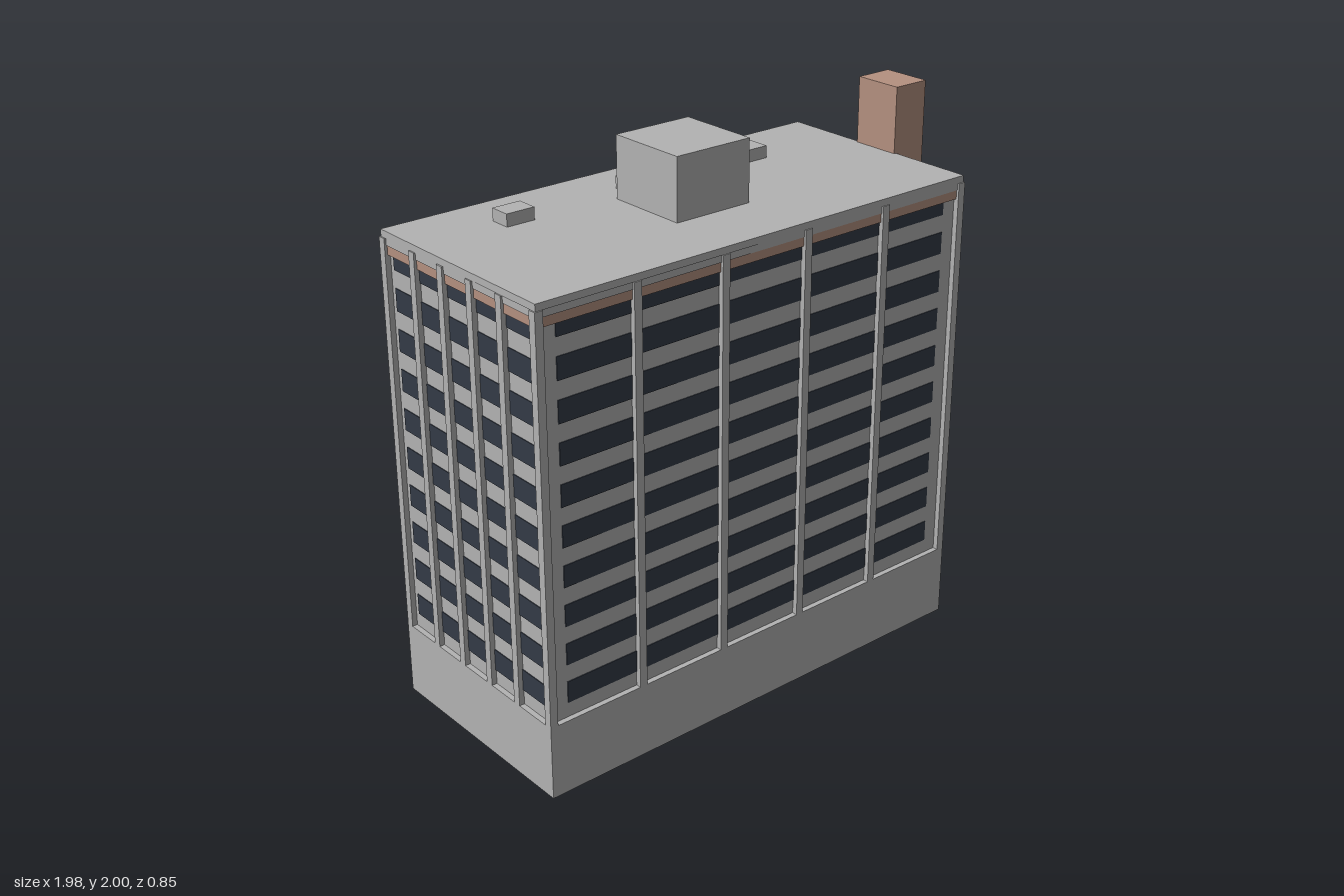
import * as THREE from 'three';

const concrete = new THREE.MeshStandardMaterial({ color: 0xb3b3b3 });
concrete.name = 'concrete grey';
const brick = new THREE.MeshStandardMaterial({ color: 0xb59180 });
brick.name = 'brick brown';
const glass = new THREE.MeshStandardMaterial({ color: 0x343b47 });
glass.name = 'dark glass';

// Box given by its low and high limits on each axis
function box(parent, name, material, [x0, x1], [y0, y1], [z0, z1]) {
  const mesh = new THREE.Mesh(new THREE.BoxGeometry(x1 - x0, y1 - y0, z1 - z0), material);
  mesh.position.set((x0 + x1) / 2, (y0 + y1) / 2, (z0 + z1) / 2);
  mesh.name = name;
  parent.add(mesh);
}

const HALF_X = 0.923, HALF_Z = 0.426;   // tower half sizes
const BASE = 0.275, EAVES = 1.73, ROOF = 1.755;
const RECESS = 0.02, PILLAR = 0.03, BAYS = 5, FLOORS = 10;

// One facade, built facing +z with its outer plane at z = 0
function facade(name, half, windowInset) {
  const g = new THREE.Group();
  g.name = name;
  const inner = half - PILLAR, strip = inner - windowInset;
  for (let i = 0; i < FLOORS; i++) {
    const y = 0.33 + i * 0.1438;
    box(g, 'windowStrip', glass, [-strip, strip], [y, y + 0.08], [-RECESS - 0.004, -RECESS + 0.003]);
  }
  for (let i = 1; i < BAYS; i++) {
    const x = -inner + (i * 2 * inner) / BAYS;
    box(g, 'mullion', concrete, [x - 0.015, x + 0.015], [BASE, EAVES], [-RECESS - 0.005, 0]);
  }
  box(g, 'brickBand', brick, [-inner, inner], [1.672, 1.705], [-RECESS - 0.005, -0.01]);
  box(g, 'lintel', concrete, [-inner, inner], [1.705, EAVES], [-RECESS - 0.005, -0.007]);
  return g;
}

export function createModel() {
  const model = new THREE.Group();
  model.name = 'apartmentTower';

  const tower = new THREE.Group();
  tower.name = 'tower';
  tower.position.x = -0.066;
  model.add(tower);

  // Plinth, recessed walls, roof slab
  const cx = HALF_X - RECESS, cz = HALF_Z - RECESS;
  box(tower, 'plinth', concrete, [-HALF_X, HALF_X], [0, BASE], [-HALF_Z, HALF_Z]);
  box(tower, 'walls', concrete, [-cx, cx], [BASE, EAVES], [-cz, cz]);
  box(tower, 'roofSlab', concrete, [-HALF_X + 0.005, HALF_X - 0.005], [EAVES, ROOF], [-HALF_Z + 0.004, HALF_Z - 0.004]);

  // Corner pillars
  for (const sx of [-1, 1]) for (const sz of [-1, 1]) {
    const x = sx * (HALF_X - PILLAR / 2), z = sz * (HALF_Z - PILLAR / 2), h = PILLAR / 2;
    box(tower, 'cornerPillar', concrete, [x - h, x + h], [BASE, EAVES], [z - h, z + h]);
  }

  // Four facades turned to their sides
  [['frontFacade', HALF_X, HALF_Z, 0.056], ['leftFacade', HALF_Z, HALF_X, 0.02],
    ['backFacade', HALF_X, HALF_Z, 0.056], ['rightFacade', HALF_Z, HALF_X, 0.02]]
    .forEach(([name, half, distance, inset], i) => {
      const f = facade(name, half, inset);
      const a = (i * Math.PI) / 2;
      f.rotation.y = a;
      f.position.set(Math.sin(a) * distance, 0, Math.cos(a) * distance);
      tower.add(f);
    });

  // Roof structures
  box(model, 'penthouse', concrete, [-0.222, 0.09], [ROOF, 1.98], [-0.16, 0.155]);
  for (const x of [-0.61, -0.102, 0.408]) {
    box(model, 'roofVent', concrete, [x - 0.055, x + 0.055], [ROOF, 1.8], [-0.25, -0.17]);
  }

  // Full-height brick shaft
  box(model, 'brickShaft', brick, [0.843, 0.989], [0, 2], [-0.094, 0.094]);
  return model;
}
